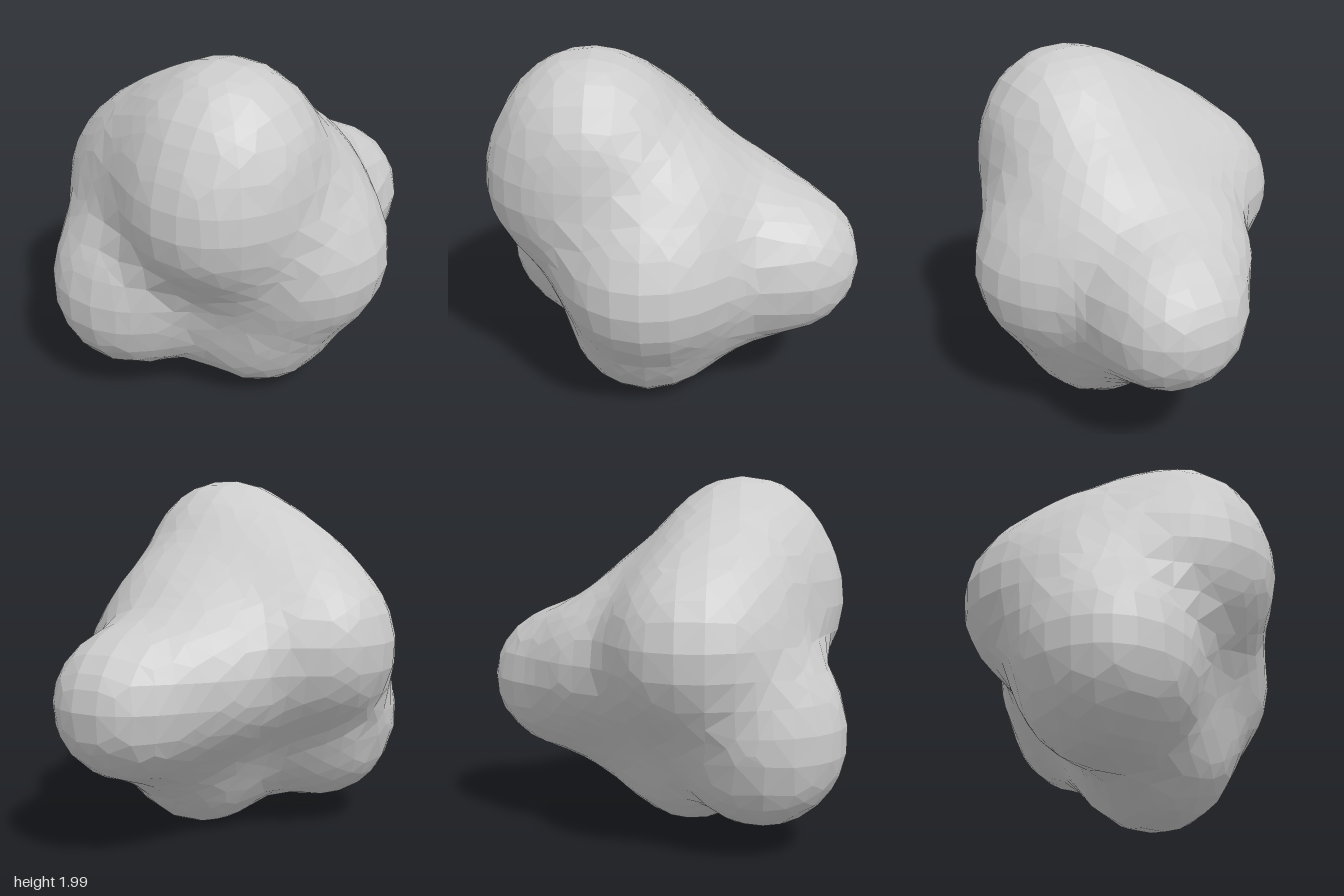
import * as THREE from 'three';

// Lobes of the blob: x, y, z, radius
const LOBES = [
  [0.10, 1.00, 0.13, 0.55],    // core
  [0.22, 1.57, 0.45, 0.405],   // top
  [0.22, 1.28, 0.595, 0.39],   // upper front
  [-0.12, 1.48, 0.38, 0.26],   // slope from top to shoulder
  [-0.30, 1.30, 0.35, 0.33],   // shoulder
  [-0.52, 1.10, 0.20, 0.395],  // -x side
  [0.52, 0.86, 0.13, 0.395],   // +x side
  [0.30, 1.22, 0.03, 0.27],    // slope from top to back
  [0.22, 0.83, -0.62, 0.38],   // back
  [-0.09, 0.95, -0.33, 0.30],  // bridge from back to -x side
  [0.22, 0.58, -0.25, 0.22],   // bridge from back to bottom
  [0.22, 0.40, 0.16, 0.40],    // bottom
  [-0.355, 0.53, 0.57, 0.36],  // lower front
  [-0.355, 0.70, 0.59, 0.36],
];
const BLEND = 0.12;
const STEP = 0.145;
const N = 18;
const ORIGIN = [-1.235, -0.24, -1.235];

// Smooth union of all lobes, negative inside
function field(x, y, z) {
  let sum = 0;
  for (const [cx, cy, cz, r] of LOBES) {
    sum += Math.exp((r - Math.hypot(x - cx, y - cy, z - cz)) / BLEND);
  }
  return -BLEND * Math.log(sum);
}

// Move a point onto the surface along the gradient
function snap(p) {
  const e = 0.005;
  for (let i = 0; i < 4; i++) {
    const g = new THREE.Vector3(
      field(p.x + e, p.y, p.z) - field(p.x - e, p.y, p.z),
      field(p.x, p.y + e, p.z) - field(p.x, p.y - e, p.z),
      field(p.x, p.y, p.z + e) - field(p.x, p.y, p.z - e)
    ).divideScalar(2 * e);
    p.addScaledVector(g, -field(p.x, p.y, p.z) / Math.max(g.lengthSq(), 0.2));
  }
  return p;
}

// Coarse grid surface: one vertex per crossed cell, one quad per crossed edge
function blobGeometry() {
  const at = (q) => ORIGIN.map((o, i) => o + q[i] * STEP);
  const value = (q) => field(...at(q));
  const shift = (q, axis, d) => q.map((v, i) => (i === axis ? v + d : v));

  const cells = new Map();
  const cellVertex = (q) => {
    const key = q.join();
    if (cells.has(key)) return cells.get(key);
    const mean = new THREE.Vector3();
    let count = 0;
    for (let corner = 0; corner < 8; corner++) {
      const a = q.map((v, i) => v + ((corner >> i) & 1));
      for (let axis = 0; axis < 3; axis++) {
        if ((corner >> axis) & 1) continue;
        const b = shift(a, axis, 1);
        const fa = value(a), fb = value(b);
        if ((fa < 0) === (fb < 0)) continue;
        const pa = new THREE.Vector3(...at(a));
        mean.add(pa.lerp(new THREE.Vector3(...at(b)), fa / (fa - fb)));
        count++;
      }
    }
    const p = snap(mean.divideScalar(count));
    cells.set(key, p);
    return p;
  };

  const points = [];
  for (let i = 1; i < N; i++) for (let j = 1; j < N; j++) for (let k = 1; k < N; k++) {
    const q = [i, j, k];
    for (let axis = 0; axis < 3; axis++) {
      const inside = value(q) < 0;
      if (inside === value(shift(q, axis, 1)) < 0) continue;
      const b = (axis + 1) % 3, c = (axis + 2) % 3;
      const quad = [shift(shift(q, b, -1), c, -1), shift(q, c, -1), q, shift(q, b, -1)].map(cellVertex);
      if (!inside) quad.reverse();
      // Split along the shorter diagonal
      const [v0, v1, v2, v3] = quad;
      if (v0.distanceTo(v2) < v1.distanceTo(v3)) points.push(v0, v1, v2, v0, v2, v3);
      else points.push(v0, v1, v3, v1, v2, v3);
    }
  }
  return new THREE.BufferGeometry().setFromPoints(points);
}

export function createModel() {
  const geometry = blobGeometry();

  // Centre it and stand it on the ground
  geometry.computeBoundingBox();
  const mid = geometry.boundingBox.getCenter(new THREE.Vector3());
  geometry.translate(-mid.x, -geometry.boundingBox.min.y, -mid.z);
  geometry.computeVertexNormals();

  const blob = new THREE.Mesh(
    geometry,
    new THREE.MeshStandardMaterial({ color: 0xcccccc, flatShading: true })
  );
  blob.name = 'lumpyBlob';
  const group = new THREE.Group();
  group.name = 'blobModel';
  group.add(blob);
  return group;
}
